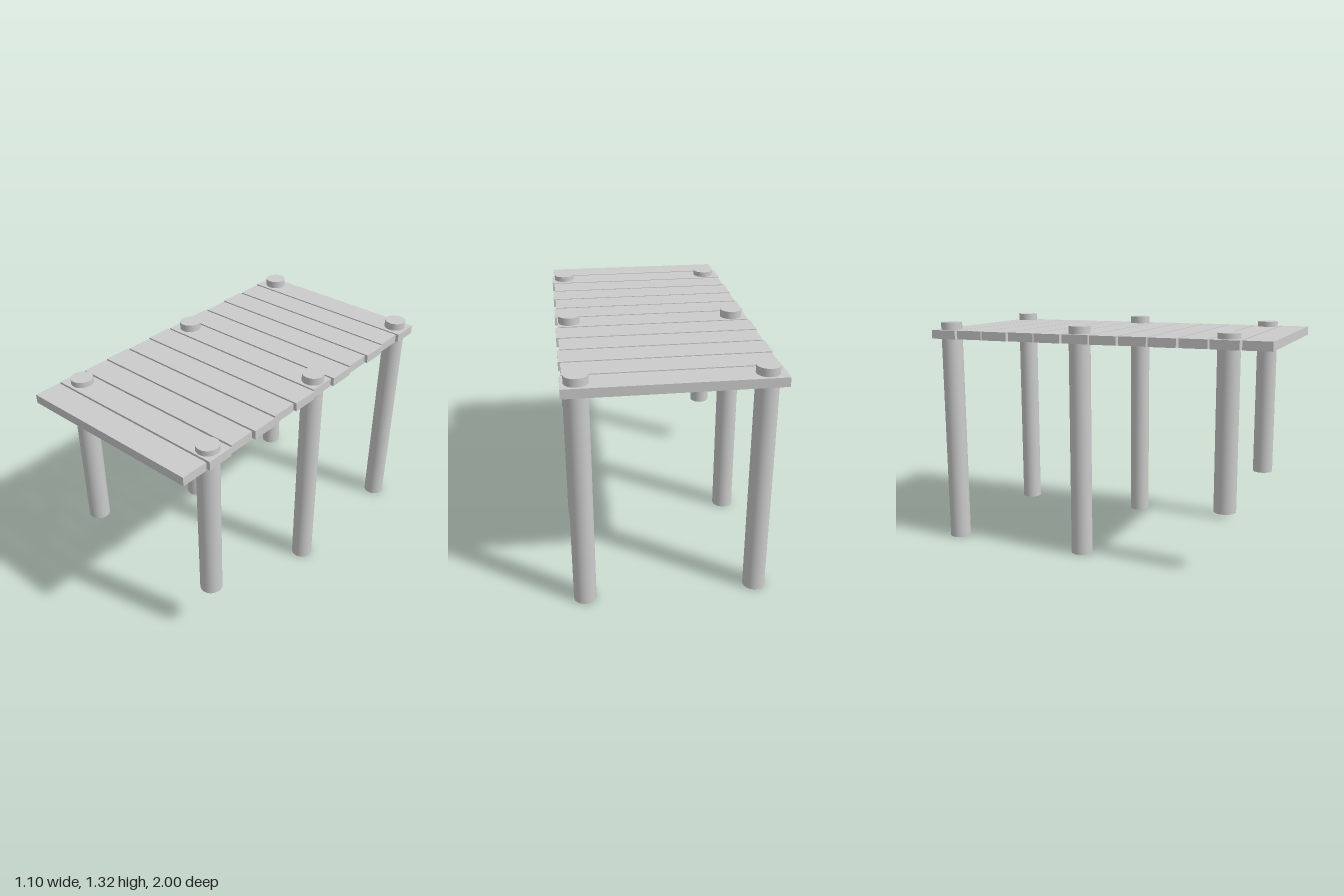
import * as THREE from 'three';

export function createModel() {
  const model = new THREE.Group();
  const material = new THREE.MeshStandardMaterial({ color: 0xcccccc });

  const add = (geometry, name, x, y, z) => {
    const mesh = new THREE.Mesh(geometry, material);
    mesh.name = name;
    mesh.position.set(x, y, z);
    model.add(mesh);
  };

  // Deck: twelve planks with narrow gaps, alternating wide and slightly shorter
  const count = 12, depth = 0.156, thickness = 0.05, deckY = 1.247;
  const pitch = (2 - depth) / (count - 1);
  for (let i = 0; i < count; i++) {
    const short = i % 2 === 1;
    add(new THREE.BoxGeometry(short ? 1.085 : 1.104, thickness, depth),
      `plank${i + 1}`, short ? -0.002 : 0, deckY, -1 + depth / 2 + i * pitch);
  }

  // Posts: three pairs rising through the deck; the front pair stops higher up
  const rows = [
    { name: 'back', zRight: -0.925, zLeft: -0.925, bottom: 0, top: 1.315 },
    { name: 'middle', zRight: -0.093, zLeft: -0.085, bottom: 0, top: 1.315 },
    { name: 'front', zRight: 0.755, zLeft: 0.762, bottom: 0.345, top: 1.303 },
  ];
  for (const { name, zRight, zLeft, bottom, top } of rows) {
    const post = new THREE.CylinderGeometry(0.061, 0.061, top - bottom, 32);
    const y = (top + bottom) / 2;
    add(post, `${name}RightPost`, -0.458, y, zRight);
    add(post, `${name}LeftPost`, 0.474, y, zLeft);
  }

  return model;
}
